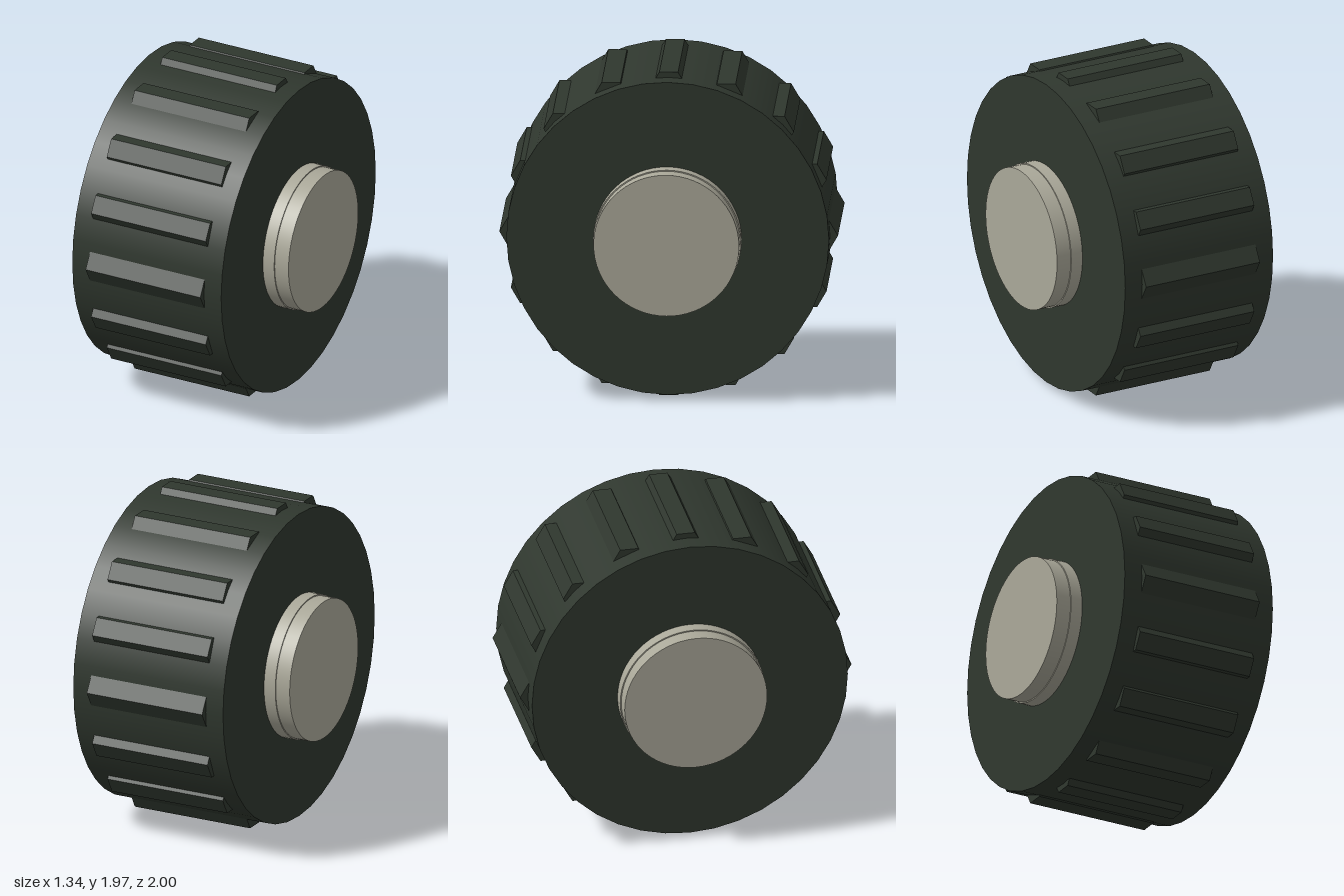
import * as THREE from 'three';

export function createModel() {
  const rubber = new THREE.MeshStandardMaterial({ name: 'darkGreenRubber', color: 0x2f372e });
  const metal = new THREE.MeshStandardMaterial({ name: 'paleHubMetal', color: 0xaaa899 });

  const wheel = new THREE.Group();
  wheel.name = 'wheel';
  wheel.position.y = 0.987;

  // Cylinder lying along the x axis
  function axle(name, radius, length, sides, material) {
    const geometry = new THREE.CylinderGeometry(radius, radius, length, sides);
    geometry.rotateZ(Math.PI / 2);
    const mesh = new THREE.Mesh(geometry, material);
    mesh.name = name;
    wheel.add(mesh);
    return mesh;
  }

  axle('tyre', 0.953, 1, 40, rubber);
  axle('hubCollar', 0.437, 1.15, 64, metal);
  axle('hubCap', 0.43, 1.335, 64, metal);

  // Hexagonal tread bars, all upright, sunk into the tyre around its rim
  const bar = new THREE.CylinderGeometry(0.11, 0.11, 0.77, 6).toNonIndexed();
  bar.computeVertexNormals();
  bar.rotateZ(Math.PI / 2);
  const count = 16;
  for (let i = 0; i < count; i++) {
    const angle = (i / count) * Math.PI * 2;
    const mesh = new THREE.Mesh(bar, rubber);
    mesh.name = 'treadBar' + (i + 1);
    mesh.position.set(0, Math.cos(angle) * 0.89, Math.sin(angle) * 0.89);
    wheel.add(mesh);
  }

  const model = new THREE.Group();
  model.name = 'treadedWheel';
  model.add(wheel);
  return model;
}
